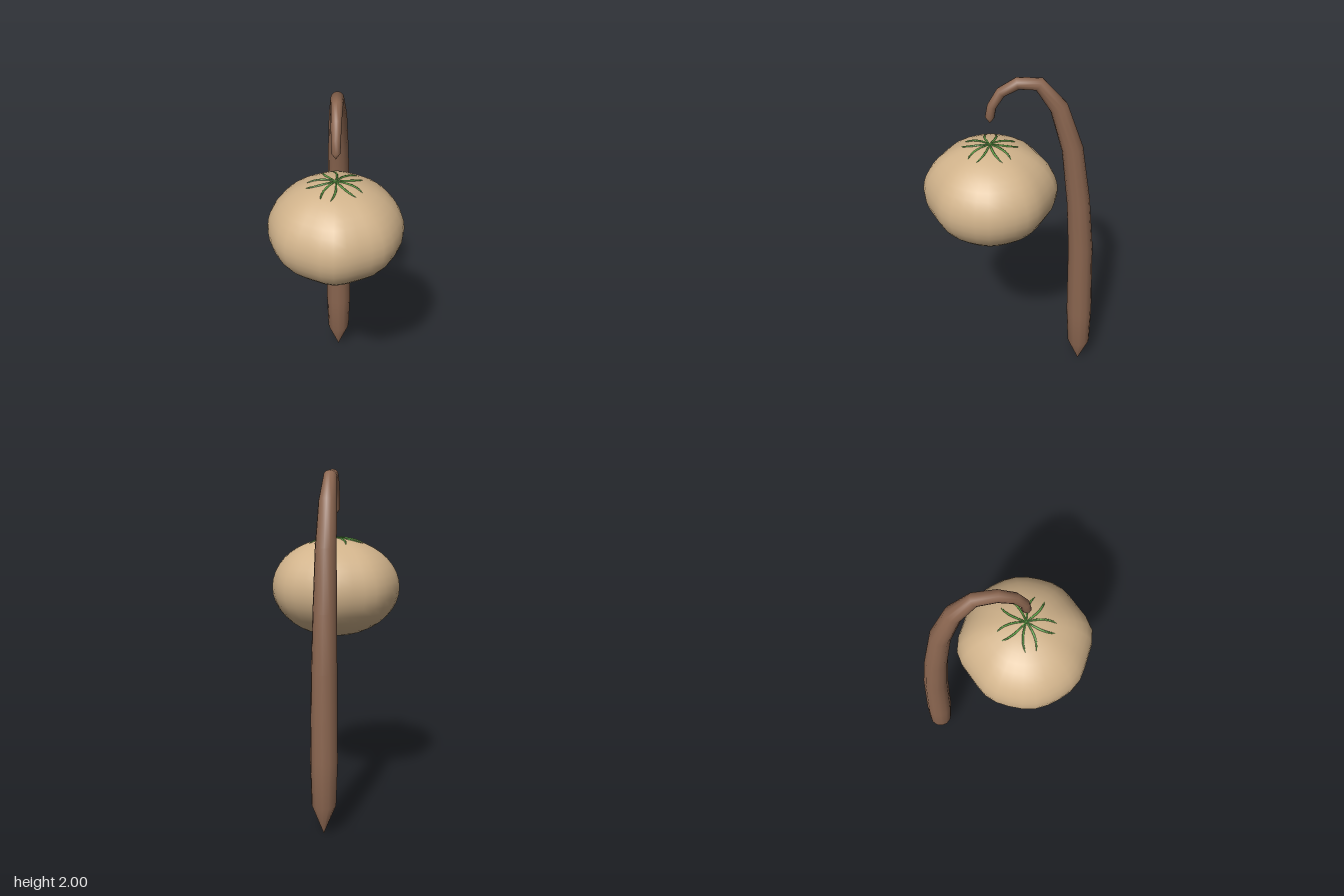
import * as THREE from 'three';
import { mergeVertices } from 'three/addons/utils/BufferGeometryUtils.js';

const paint = (name, color) => {
  const m = new THREE.MeshStandardMaterial({ color });
  m.name = name;
  return m;
};

// Round tapered tube through points with one radius each; ref fixes the roll
function taperedTube(points, radii, ref, sides) {
  const pos = [], index = [];
  const n = points.length;
  for (let i = 0; i < n; i++) {
    const t = points[Math.min(i + 1, n - 1)].clone().sub(points[Math.max(i - 1, 0)]).normalize();
    const e1 = t.clone().cross(ref).normalize();
    const e2 = t.clone().cross(e1);
    for (let j = 0; j < sides; j++) {
      const a = (j / sides) * Math.PI * 2;
      const p = points[i].clone()
        .addScaledVector(e1, Math.cos(a) * radii[i])
        .addScaledVector(e2, Math.sin(a) * radii[i]);
      pos.push(p.x, p.y, p.z);
      if (i < n - 1) {
        const k = (j + 1) % sides;
        const A = i * sides + j, B = i * sides + k;
        index.push(A, B, A + sides, B, B + sides, A + sides);
      }
    }
  }
  const g = new THREE.BufferGeometry();
  g.setAttribute('position', new THREE.Float32BufferAttribute(pos, 3));
  g.setIndex(index);
  g.computeVertexNormals();
  return g;
}

export function createModel() {
  const group = new THREE.Group();
  const bark = paint('bark brown', 0x8b6650);
  const skin = paint('gourd tan', 0xd2b48c);
  const green = paint('leaf green', 0x66aa4c);
  const add = (name, geometry, material) => {
    const m = new THREE.Mesh(geometry, material);
    m.name = name;
    group.add(m);
  };

  // Hooked stalk, pointed at both ends: z, y, radius
  const stalk = [
    [-0.43, 0, 0], [-0.427, 0.17, 0.069], [-0.419, 0.42, 0.077], [-0.403, 0.92, 0.072],
    [-0.376, 1.24, 0.066], [-0.328, 1.58, 0.059], [-0.246, 1.83, 0.05], [-0.14, 1.963, 0.037],
    [-0.027, 1.967, 0.033], [0.06, 1.915, 0.029], [0.108, 1.835, 0.026], [0.12, 1.77, 0.025],
    [0.12, 1.735, 0],
  ];
  add('hookedStalk', taperedTube(
    stalk.map(([z, y]) => new THREE.Vector3(0, y, z)),
    stalk.map((s) => s[2]), new THREE.Vector3(1, 0, 0), 12), bark);

  // Squashed gourd body with soft lobes that fade towards the poles
  const cy = 1.316, cz = 0.122, H = 0.288;
  let body = new THREE.SphereGeometry(1, 32, 20);
  body.deleteAttribute('uv');
  body.deleteAttribute('normal');
  body = mergeVertices(body, 1e-4);
  const p = body.attributes.position;
  for (let i = 0; i < p.count; i++) {
    const x = p.getX(i), y = p.getY(i), z = p.getZ(i);
    const a = Math.atan2(z, x), s = Math.hypot(x, z);
    const lobe = 0.005 * Math.cos(8 * a) + 0.004 * Math.cos(4 * a)
      + 0.005 * (Math.cos(2 * a) - Math.cos(6 * a));
    const r = 0.369 + lobe * s * (1 + 1.2 * (1 - s));
    p.setXYZ(i, x * r, cy + y * H, cz + z * r);
  }
  body.computeVertexNormals();
  add('gourdBody', body, skin);

  // Five pairs of thin sepals, each pair bowing apart over the crown
  for (let k = 0; k < 5; k++) {
    for (const side of [-1, 1]) {
      const mid = Math.PI / 5 + (k * Math.PI * 2) / 5;
      const pts = [], radii = [];
      for (let i = 0; i <= 8; i++) {
        const u = i / 8, d = 0.163 * u;
        const a = mid + side * (0.42 - 0.25 * u * u);
        const y = cy + H * Math.sqrt(1 - (d / 0.369) ** 2);
        pts.push(new THREE.Vector3(d * Math.cos(a), y + 0.001, cz + d * Math.sin(a)));
        radii.push(i === 8 ? 0 : 0.0035 + 0.0025 * Math.sin(Math.PI * u));
      }
      add('sepal', taperedTube(pts, radii, new THREE.Vector3(0, 1, 0), 5), green);
    }
  }
  return group;
}
